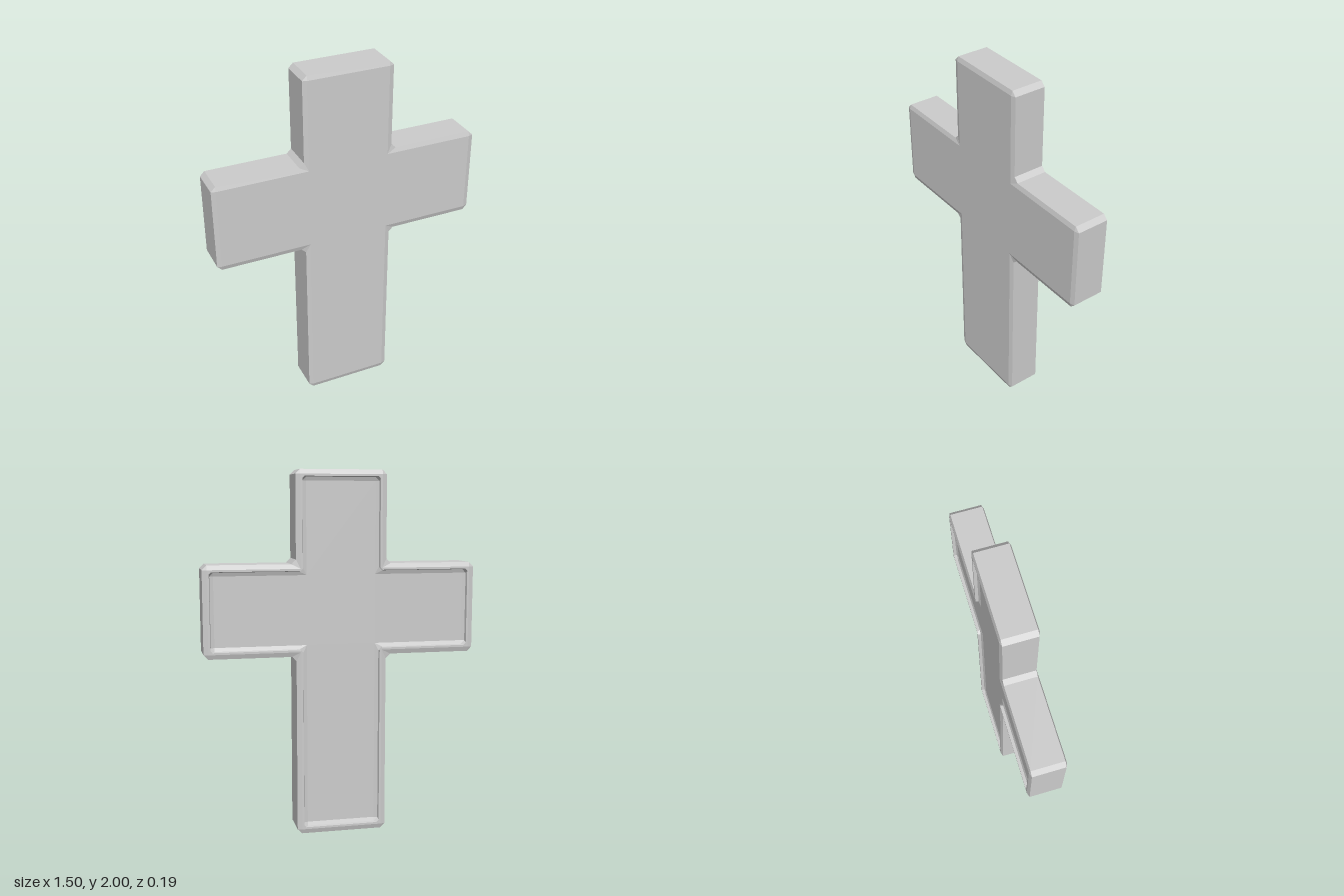
import * as THREE from 'three';

// Cross outline, counter-clockwise from the front, pulled in by `inset`,
// with every corner (outer and inner) cut by `cut`: two points per corner.
function outline(inset, cut) {
  const w = 0.25 - inset, a = 0.75 - inset;
  const bottom = inset, low = 1 + inset, high = 1.5 - inset, top = 2 - inset;
  const right = [[w, bottom], [w, low], [a, low], [a, high], [w, high], [w, top]];
  const left = right.map(([x, y]) => [-x, y]).reverse();
  const corners = [...right, ...left].map(([x, y]) => new THREE.Vector2(x, y));
  const n = corners.length;
  return corners.flatMap((p, i) => [corners[(i + n - 1) % n], corners[(i + 1) % n]].map((q) =>
    p.clone().add(q.clone().sub(p).setLength(cut))));
}

// Skin the rings [inset, cut, z] from front to back, then close both ends.
function loftRings(rings) {
  const positions = [];
  const triangle = (a, b, c) => {
    const area = b.clone().sub(a).cross(c.clone().sub(a)).length();
    if (area > 1e-9) for (const p of [a, b, c]) positions.push(p.x, p.y, p.z);
  };
  const loops = rings.map(([inset, cut, z]) =>
    outline(inset, cut).map((p) => new THREE.Vector3(p.x, p.y, z)));

  for (let r = 0; r < loops.length - 1; r++) {
    const a = loops[r], b = loops[r + 1];
    for (let i = 0; i < a.length; i++) {
      const j = (i + 1) % a.length;
      triangle(a[i], b[i], b[j]);
      triangle(a[i], b[j], a[j]);
    }
  }

  // End faces are uncut, so one point per corner is enough
  const cap = (loop, flip) => {
    const points = loop.filter((_, i) => i % 2 === 0);
    const flat = points.map((p) => new THREE.Vector2(p.x, p.y));
    for (const [i, j, k] of THREE.ShapeUtils.triangulateShape(flat, [])) {
      if (flip) triangle(points[k], points[j], points[i]);
      else triangle(points[i], points[j], points[k]);
    }
  };
  cap(loops[0], false);
  cap(loops[loops.length - 1], true);

  const geometry = new THREE.BufferGeometry();
  geometry.setAttribute('position', new THREE.Float32BufferAttribute(positions, 3));
  geometry.computeVertexNormals();
  return geometry;
}

export function createModel() {
  const group = new THREE.Group();
  group.name = 'cross';

  const body = new THREE.Mesh(
    loftRings([
      [0.025, 0, 0.096],      // front face
      [0, 0.025, 0.088],      // front bevel
      [0, 0.025, -0.088],     // side walls
      [0.025, 0, -0.096],     // back bevel
      [0.036, 0.012, -0.096], // raised rim
      [0.04, 0.02, -0.08],    // recess wall
      [0.06, 0, -0.073],      // sloped border of the recessed back panel
    ]),
    new THREE.MeshStandardMaterial({ color: 0xcccccc, flatShading: true }),
  );
  body.name = 'crossBody';
  group.add(body);
  return group;
}
